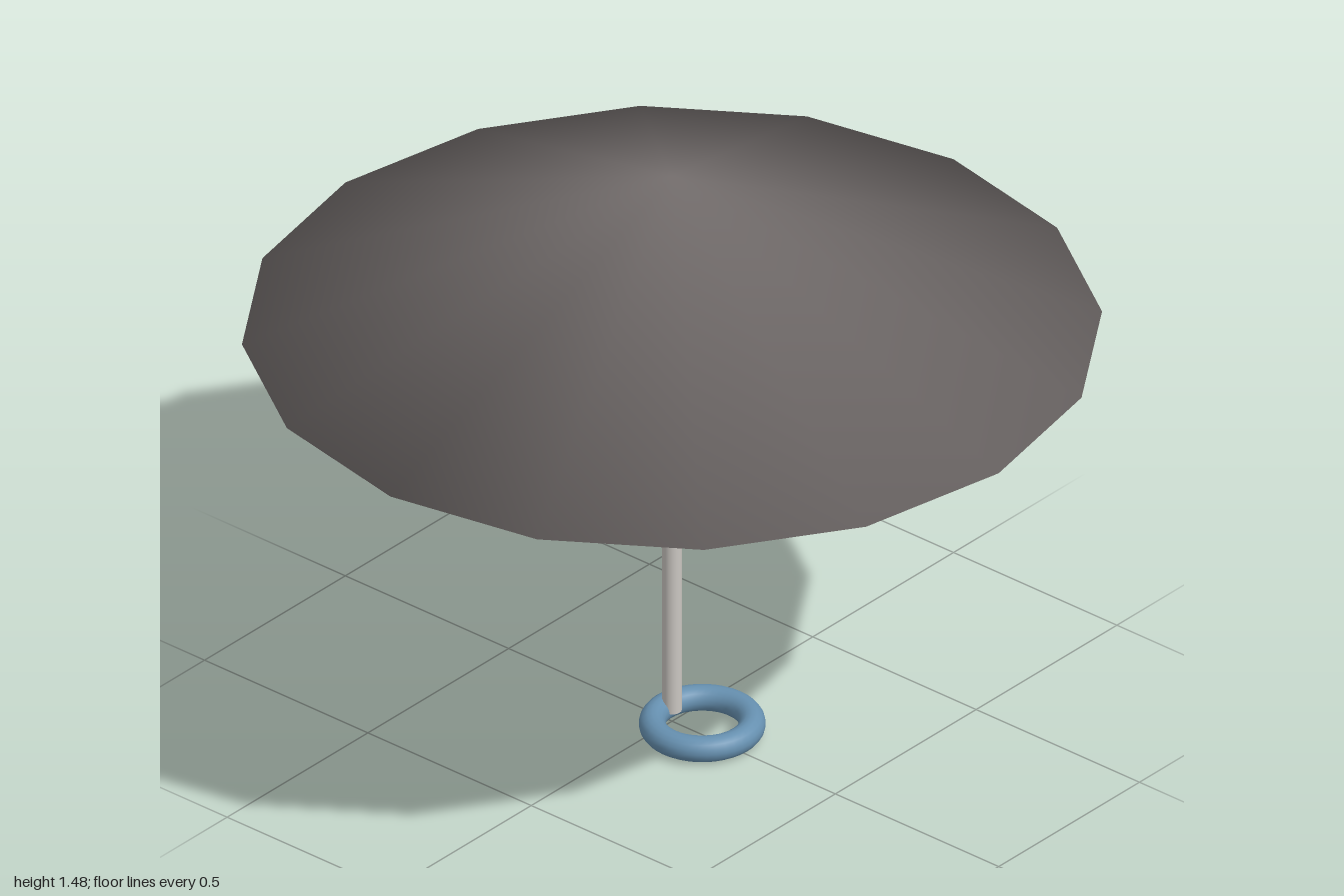
import * as THREE from 'three';
import { mergeVertices } from 'three/addons/utils/BufferGeometryUtils.js';

const material = (name, color) => {
  const m = new THREE.MeshStandardMaterial({ color });
  m.name = name;
  return m;
};

export function createModel() {
  const group = new THREE.Group();
  group.name = 'parasol';

  const add = (name, geometry, mat, x, y) => {
    const mesh = new THREE.Mesh(geometry, mat);
    mesh.name = name;
    mesh.position.set(x, y, 0);
    group.add(mesh);
  };

  // Canopy: closed 16-sided cone, its corners welded so normals run smoothly over the rim
  const rimY = 1.065, height = 0.41;
  const cone = new THREE.ConeGeometry(1, height, 16, 1);
  cone.deleteAttribute('normal');
  cone.deleteAttribute('uv');
  const canopy = mergeVertices(cone, 1e-4);
  canopy.computeVertexNormals();
  add('canopy', canopy, material('warm grey cloth', 0x746e6d), 0, rimY + height / 2);

  // Pole: from the middle of the ring up to the underside of the canopy
  const tube = 0.0315, poleTop = rimY + 0.005;
  add('pole', new THREE.CylinderGeometry(0.023, 0.023, poleTop - tube, 16),
    material('light grey metal', 0xcac6c1), 0, (poleTop + tube) / 2);

  // Handle ring: lies flat, offset so the pole meets its edge
  const ring = new THREE.TorusGeometry(0.116, tube, 16, 40);
  ring.rotateX(-Math.PI / 2);
  add('handleRing', ring, material('steel blue', 0x6690b0), 0.0925, tube);

  return group;
}
